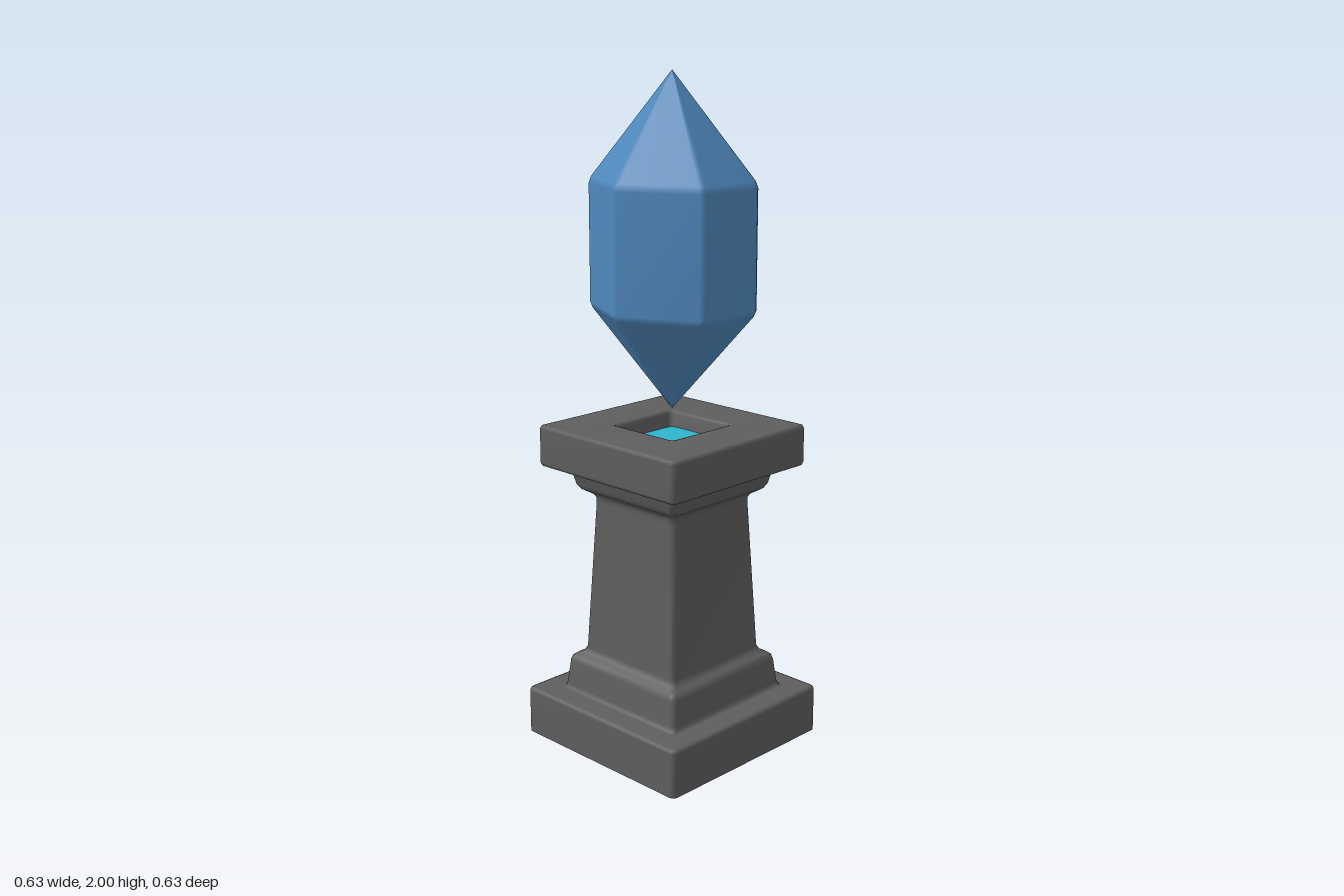
import * as THREE from 'three';

// Skin a stack of closed rings (each a list of [x, y, z]) with smooth normals
function loft(rings) {
  const n = rings[0].length;
  const index = [];
  for (let i = 0; i < rings.length - 1; i++) {
    for (let j = 0; j < n; j++) {
      const a = i * n + j, b = i * n + (j + 1) % n;
      index.push(a, a + n, b, b, a + n, b + n);
    }
  }
  const geo = new THREE.BufferGeometry();
  geo.setAttribute('position', new THREE.Float32BufferAttribute(rings.flat(2), 3));
  geo.setIndex(index);
  geo.computeVertexNormals();
  return geo;
}

// Square ring of half-width w with softened corners
function squareRing(w, y, r = 0.016) {
  const ring = [];
  for (let c = 0; c < 4; c++) {
    const mid = Math.PI / 4 + c * Math.PI / 2;
    const cx = Math.sign(Math.cos(mid)) * (w - r), cz = Math.sign(Math.sin(mid)) * (w - r);
    for (let k = 0; k <= 3; k++) {
      const t = c * Math.PI / 2 + k * Math.PI / 6;
      ring.push([cx + r * Math.cos(t), y, cz + r * Math.sin(t)]);
    }
  }
  return ring;
}

// Six-sided ring with narrowly bevelled corners, scaled by s
const hexCorners = [[0.228, 0], [0.113, 0.23], [-0.113, 0.23], [-0.228, 0], [-0.113, -0.23], [0.113, -0.23]];
function hexRing(s, y) {
  const ring = [];
  hexCorners.forEach(([x, z], i) => {
    for (const other of [hexCorners[(i + 5) % 6], hexCorners[(i + 1) % 6]]) {
      const t = 0.04;
      ring.push([s * (x + (other[0] - x) * t), y, s * (z + (other[1] - z) * t)]);
    }
  });
  return ring;
}

export function createModel() {
  const stone = new THREE.MeshStandardMaterial({ color: 0x5e5e5e, side: THREE.DoubleSide });
  stone.name = 'dark stone';
  const blue = new THREE.MeshStandardMaterial({ color: 0x4f88bc });
  blue.name = 'crystal blue';
  const cyan = new THREE.MeshStandardMaterial({ color: 0x2fb6cc, side: THREE.DoubleSide });
  cyan.name = 'glowing cyan';

  const group = new THREE.Group();
  const add = (name, geo, mat) => {
    const mesh = new THREE.Mesh(geo, mat);
    mesh.name = name;
    group.add(mesh);
    return mesh;
  };

  // Hollow pedestal, open underneath: half-width and height of each ring
  const profile = [
    [0.314, 0], [0.314, 0.135], [0.311, 0.143], [0.302, 0.147], // plinth
    [0.245, 0.147], [0.236, 0.15], [0.232, 0.162], [0.224, 0.235], [0.219, 0.25], [0.208, 0.258], // step
    [0.195, 0.265], [0.187, 0.28], [0.164, 0.74], [0.164, 0.757], [0.17, 0.768], // shaft
    [0.197, 0.785], [0.206, 0.8], [0.213, 0.83], [0.222, 0.848], [0.235, 0.854], // neck
    [0.268, 0.854], [0.277, 0.857], [0.28, 0.866], [0.28, 0.968], [0.277, 0.977], [0.268, 0.98], // cap
    [0.13, 0.98], [0.123, 0.978], [0.119, 0.97], [0.112, 0.93], // socket
  ];
  add('pedestal', loft(profile.map(([w, y]) => squareRing(w, y))), stone);

  // Glowing floor of the socket
  const floor = add('socketGlow', new THREE.PlaneGeometry(0.226, 0.226), cyan);
  floor.rotation.x = -Math.PI / 2;
  floor.position.y = 0.932;

  // Floating double-pointed crystal
  add('crystal', loft([
    hexRing(0.001, 1.03), hexRing(0.97, 1.317), hexRing(1, 1.335),
    hexRing(1, 1.68), hexRing(0.97, 1.7), hexRing(0.001, 2),
  ]), blue);

  return group;
}
